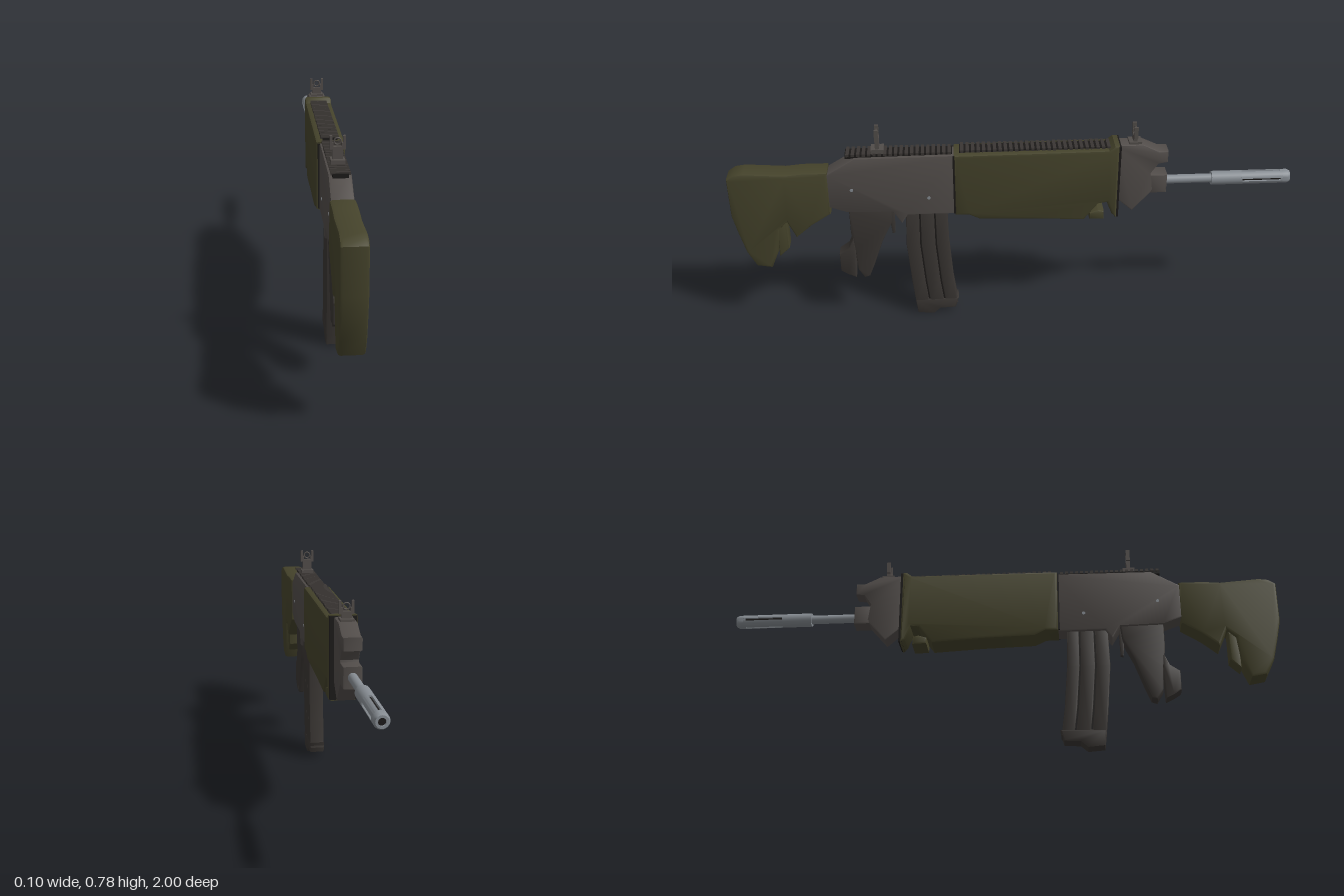
import * as THREE from 'three';
import { toCreasedNormals } from 'three/addons/utils/BufferGeometryUtils.js';

const paint = (color) => new THREE.MeshStandardMaterial({ color });
const olive = paint(0x45432b), grey = paint(0x524d4a), dark = paint(0x3a3633);
const black = paint(0x1c1a19), steel = paint(0x868c92);

function add(parent, name, geometry, material, x = 0, y = 0, z = 0) {
  const mesh = new THREE.Mesh(geometry, material);
  mesh.name = name;
  mesh.position.set(x, y, z);
  parent.add(mesh);
  return mesh;
}

// Side outline of [z, y] points, given thickness across x with rounded edges
function slab(points, halfWidth, bevel) {
  const shape = new THREE.Shape(points.map(([z, y]) => new THREE.Vector2(z, y)));
  const depth = 2 * (halfWidth - bevel);
  const geo = new THREE.ExtrudeGeometry(shape, {
    depth, bevelEnabled: bevel > 0, bevelThickness: bevel, bevelSize: bevel,
    bevelOffset: -bevel, bevelSegments: 2,
  });
  geo.translate(0, 0, -depth / 2).rotateY(-Math.PI / 2);
  return toCreasedNormals(geo, 0.6);
}

// Round bar along z, from z0 towards the muzzle at z1
function bar(r0, r1, z0, z1, sides = 24, open = false) {
  return new THREE.CylinderGeometry(r0, r1, z0 - z1, sides, 1, open)
    .rotateX(Math.PI / 2).translate(0, 0, (z0 + z1) / 2);
}

// Flat base with closely spaced cross ribs
function rail(name, z0, z1, y, height) {
  const g = new THREE.Group();
  g.name = name;
  add(g, 'railBase', new THREE.BoxGeometry(0.05, height, z0 - z1), black, 0, y + height / 2, (z0 + z1) / 2);
  const count = Math.round((z0 - z1) / 0.019);
  const step = (z0 - z1) / count;
  const rib = new THREE.BoxGeometry(0.062, 0.009, step * 0.6);
  for (let i = 0; i < count; i++) add(g, 'railRib', rib, dark, 0, y + height, z0 - step * (i + 0.5));
  return g;
}

// Upright sight with two ears and a small ring
function sight(name, z, base, top) {
  const g = new THREE.Group();
  g.name = name;
  const box = (n, w, h, d, x, y) => add(g, n, new THREE.BoxGeometry(w, h, d), grey, x, y, z);
  box('sightBase', 0.046, 0.02, 0.045, 0, base + 0.003);
  box('sightStem', 0.034, top - 0.04 - base, 0.014, 0, (base + top - 0.04) / 2);
  box('sightBridge', 0.05, 0.009, 0.014, 0, top - 0.039);
  for (const s of [-1, 1]) {
    box('sightEar', 0.008, 0.042, 0.014, s * 0.021, top - 0.021);
    box('sightEarFoot', 0.006, 0.02, 0.014, s * 0.016, top - 0.032);
  }
  add(g, 'sightRing', new THREE.TorusGeometry(0.011, 0.0025, 8, 20), grey, 0, top - 0.018, z);
  return g;
}

export function createModel() {
  const model = new THREE.Group();

  // Shoulder stock with its notched underside
  add(model, 'stock', slab([
    [1, 0.61], [0.975, 0.627], [0.94, 0.632], [0.80, 0.622], [0.74, 0.628], [0.65, 0.628],
    [0.65, 0.46], [0.72, 0.415], [0.78, 0.365], [0.808, 0.43], [0.84, 0.40], [0.85, 0.31],
    [0.88, 0.24], [0.935, 0.25], [0.965, 0.31], [0.985, 0.39], [1, 0.46],
  ], 0.042, 0.01), olive);
  add(model, 'stockSpur', slab([[0.85, 0.41], [0.812, 0.425], [0.812, 0.315], [0.85, 0.28]], 0.03, 0.006), olive);

  // Receiver
  add(model, 'receiver', slab([
    [0.655, 0.617], [0.553, 0.678], [0.2, 0.682], [0.2, 0.446], [0.377, 0.446],
    [0.40, 0.41], [0.43, 0.46], [0.59, 0.463], [0.655, 0.487],
  ], 0.037, 0.006), grey);
  for (const [z, y] of [[0.57, 0.555], [0.30, 0.515]]) {
    add(model, 'receiverPin', new THREE.CylinderGeometry(0.006, 0.006, 0.077, 12).rotateZ(Math.PI / 2), steel, 0, y, z);
  }

  // Handguard with its raised front collar
  add(model, 'handguard', slab([
    [0.207, 0.686], [-0.335, 0.69], [-0.355, 0.706], [-0.372, 0.706], [-0.372, 0.415], [-0.355, 0.43],
    [-0.335, 0.48], [-0.305, 0.475], [-0.255, 0.41], [-0.07, 0.42], [0.12, 0.425], [0.16, 0.445], [0.207, 0.445],
  ], 0.05, 0.01), olive);
  add(model, 'handguardBand', slab([[-0.366, 0.702], [-0.378, 0.702], [-0.378, 0.42], [-0.366, 0.42]], 0.046, 0), black);
  add(model, 'handguardBackBand', slab([[0.212, 0.68], [0.204, 0.68], [0.204, 0.45], [0.212, 0.45]], 0.043, 0), black);
  add(model, 'handStop', slab([[-0.275, 0.435], [-0.305, 0.445], [-0.327, 0.44], [-0.327, 0.408], [-0.275, 0.41]], 0.045, 0.007), olive);

  // Top rails and sights
  model.add(rail('rearRail', 0.585, 0.213, 0.675, 0.014));
  model.add(rail('frontRail', 0.188, -0.345, 0.684, 0.01));
  model.add(sight('rearSight', 0.472, 0.692, 0.78));
  model.add(sight('frontSight', -0.43, 0.695, 0.765));

  // Nose block and barrel clamp
  add(model, 'noseBlock', slab([
    [-0.36, 0.70], [-0.457, 0.70], [-0.516, 0.672], [-0.548, 0.672], [-0.548, 0.628], [-0.516, 0.623],
    [-0.49, 0.585], [-0.505, 0.52], [-0.43, 0.433], [-0.36, 0.495],
  ], 0.032, 0.006), grey);
  add(model, 'barrelClamp', slab([[-0.49, 0.578], [-0.55, 0.578], [-0.55, 0.505], [-0.49, 0.505]], 0.032, 0.006), grey);

  // Barrel and slotted muzzle tube
  const barrel = new THREE.Group();
  barrel.name = 'barrelAssembly';
  barrel.position.y = 0.543;
  model.add(barrel);
  add(barrel, 'barrel', bar(0.016, 0.016, -0.5, -0.73), steel);
  add(barrel, 'muzzleCollar', bar(0.025, 0.025, -0.715, -0.825), steel);
  add(barrel, 'muzzleCore', bar(0.019, 0.019, -0.82, -0.975), black);
  add(barrel, 'muzzleBore', bar(0.012, 0.012, -0.97, -0.993), black);
  const wedge = new THREE.Shape();
  wedge.absarc(0, 0, 0.025, 0.2, Math.PI / 2 - 0.2, false);
  wedge.absarc(0, 0, 0.017, Math.PI / 2 - 0.2, 0.2, true);
  const wedgeGeo = toCreasedNormals(
    new THREE.ExtrudeGeometry(wedge, { depth: 0.15, bevelEnabled: false, curveSegments: 6 }), 0.6);
  for (let i = 0; i < 4; i++) {
    add(barrel, 'muzzleStave', wedgeGeo, steel, 0, 0, -0.972).rotation.z = i * Math.PI / 2;
  }
  // Crown outline turned around the bore
  const crown = [[0.012, 0.965], [0.025, 0.965], [0.025, 0.99], [0.02, 1], [0.012, 1], [0.012, 0.965]]
    .map(([r, d]) => new THREE.Vector2(r, d));
  add(barrel, 'muzzleCrown', toCreasedNormals(new THREE.LatheGeometry(crown, 24).rotateX(-Math.PI / 2), 0.6), steel);

  // Pistol grip and trigger
  add(model, 'grip', slab([
    [0.587, 0.47], [0.43, 0.47], [0.437, 0.41], [0.475, 0.33], [0.51, 0.23], [0.53, 0.18],
    [0.55, 0.173], [0.572, 0.21], [0.577, 0.30], [0.587, 0.37],
  ], 0.027, 0.006), dark);
  add(model, 'gripBack', slab([
    [0.635, 0.28], [0.60, 0.305], [0.58, 0.35], [0.574, 0.30], [0.58, 0.175], [0.61, 0.19], [0.635, 0.207],
  ], 0.027, 0.005), dark);
  add(model, 'trigger', slab([[0.445, 0.47], [0.425, 0.47], [0.428, 0.355], [0.438, 0.352], [0.442, 0.39]], 0.008, 0.002), dark);

  // Curved magazine: three raised strips over a narrower core
  const magazine = new THREE.Group();
  magazine.name = 'magazine';
  model.add(magazine);
  // Rows run down the magazine: height, back edge, front edge
  const rows = [[0.455, 0.385, 0.237], [0.31, 0.389, 0.234], [0.15, 0.376, 0.222], [0.045, 0.365, 0.208]];
  const strip = (a, b) => {
    const edge = (t) => rows.map(([y, back, front]) => [back + (front - back) * t, y]);
    return [...edge(a), ...edge(b).reverse()];
  };
  add(magazine, 'magazineCore', slab(strip(0.03, 0.97), 0.024, 0), black);
  for (const [a, b] of [[0, 0.32], [0.35, 0.68], [0.71, 1]]) {
    add(magazine, 'magazineStrip', slab(strip(a, b), 0.027, 0.004), dark);
  }
  add(magazine, 'magazineFloor', slab([
    [0.367, 0.065], [0.205, 0.068], [0.217, 0.025], [0.275, 0.022], [0.30, 0], [0.36, 0.005],
  ], 0.028, 0.005), dark);

  return model;
}
